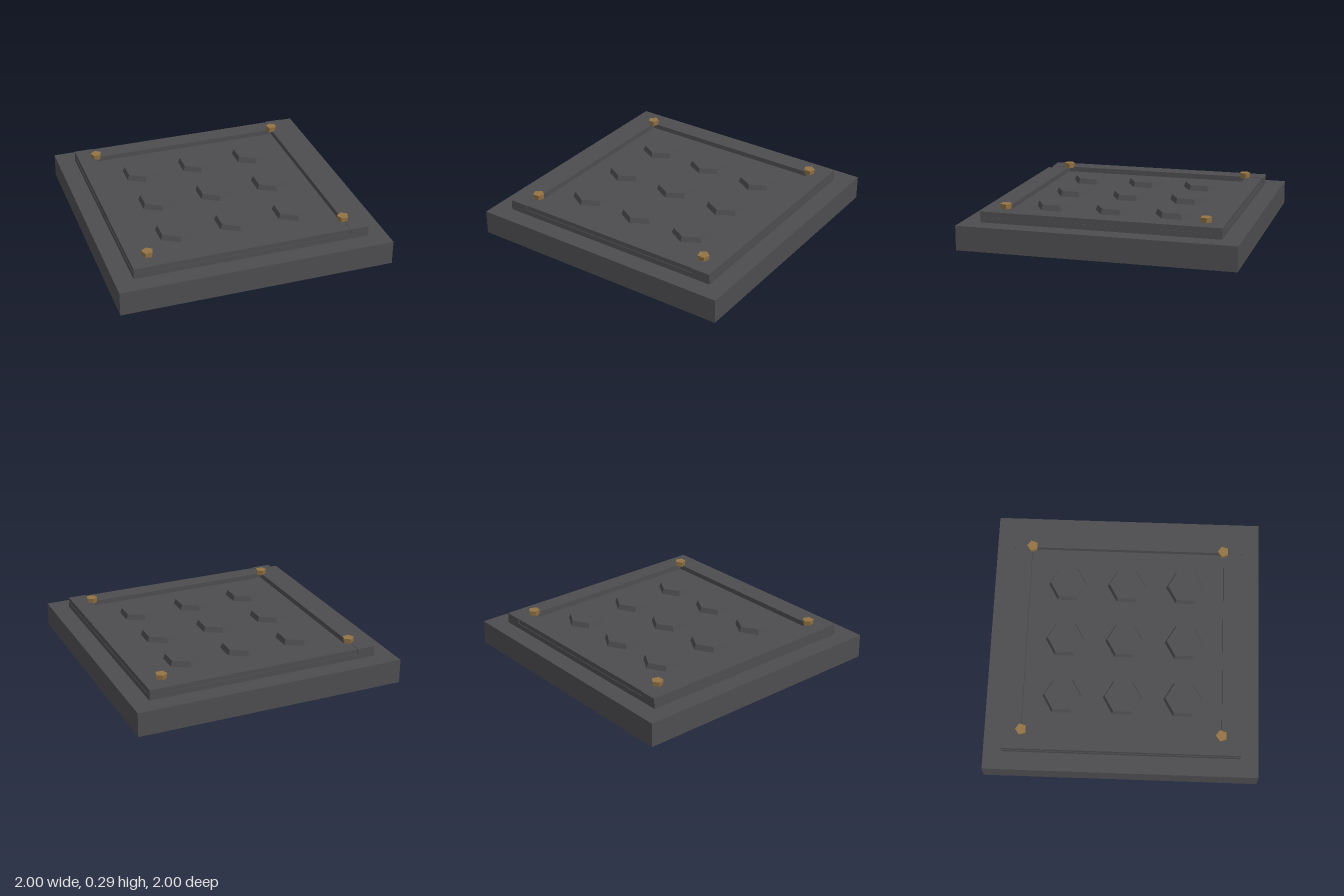
import * as THREE from 'three';

export function createModel() {
  const group = new THREE.Group();
  const darkMetal = new THREE.MeshStandardMaterial({ name: 'dark metal', color: 0x4d4d50, flatShading: true });
  const brass = new THREE.MeshStandardMaterial({ name: 'brass', color: 0x937344, flatShading: true });

  // Adds a mesh whose underside rests at the given height
  const add = (name, geometry, material, x, bottom, z) => {
    const mesh = new THREE.Mesh(geometry, material);
    mesh.name = name;
    mesh.position.set(x, bottom + geometry.parameters.height / 2, z);
    group.add(mesh);
    return mesh;
  };

  // Square base slab with a raised panel on top
  const baseTop = 0.178;
  const panelTop = 0.217;
  add('baseSlab', new THREE.BoxGeometry(2, baseTop, 2), darkMetal, 0, 0, 0);
  add('raisedPanel', new THREE.BoxGeometry(1.73, panelTop - baseTop, 1.73), darkMetal, 0, baseTop, 0);

  // Frame on the panel: long side bars with slightly lower, inset end bars between them
  const sideBar = new THREE.BoxGeometry(0.137, 0.256 - panelTop, 1.734);
  const endBar = new THREE.BoxGeometry(1.45, 0.253 - panelTop, 0.132);
  for (const s of [-1, 1]) {
    add(s > 0 ? 'leftFrameBar' : 'rightFrameBar', sideBar, darkMetal, s * 0.7935, panelTop, 0);
    add(s > 0 ? 'frontFrameBar' : 'backFrameBar', endBar, darkMetal, 0, panelTop, s * 0.794);
  }

  // Grid of tapered hexagonal studs
  const hex = new THREE.CylinderGeometry(0.131, 0.145, 0.256 - panelTop, 6);
  for (let row = -1; row <= 1; row++) {
    for (let col = -1; col <= 1; col++) {
      add('hexStud', hex, darkMetal, col * 0.443, panelTop, row * 0.443);
    }
  }

  // Five-sided brass bolts on the frame corners, flaring towards the top
  const bolt = new THREE.CylinderGeometry(0.043, 0.037, 0.041, 5);
  for (const x of [-0.724, 0.724]) {
    for (const z of [-0.724, 0.724]) {
      add('cornerBolt', bolt, brass, x, 0.25, z).rotation.y = Math.PI;
    }
  }

  return group;
}
